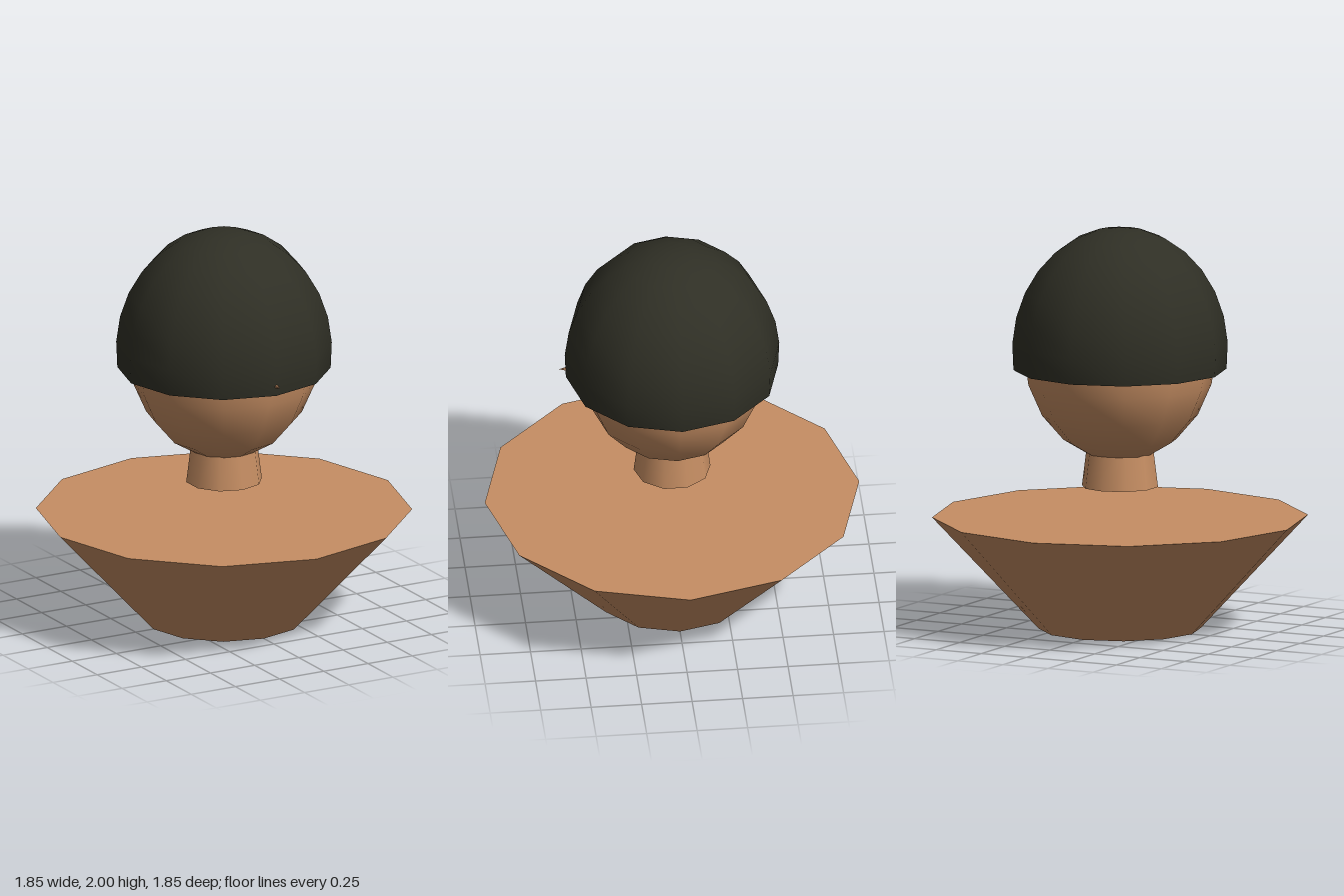
import * as THREE from 'three';

export function createModel() {
  const skin = new THREE.MeshStandardMaterial({ name: 'skin', color: 0xc68e63 });
  const hair = new THREE.MeshStandardMaterial({ name: 'darkHair', color: 0x2f2f25, side: THREE.DoubleSide });
  const model = new THREE.Group();
  model.name = 'bust';

  const add = (name, geometry, material, y, z = 0) => {
    const mesh = new THREE.Mesh(geometry, material);
    mesh.name = name;
    mesh.position.set(0, y, z);
    model.add(mesh);
    return mesh;
  };

  // Tapered shoulders, wide at the top
  add('shoulders', new THREE.CylinderGeometry(0.927, 0.4, 0.56, 12), skin, 0.28);

  // Neck floats above the shoulders and runs up into the head
  add('neck', new THREE.CylinderGeometry(0.16, 0.19, 0.24, 10), skin, 0.83);

  // Egg-shaped head
  const head = add('head', new THREE.SphereGeometry(0.475, 12, 10), skin, 1.385);
  head.scale.y = 1.15;

  // Open cap of hair, ending just below its widest ring
  const cap = add('hairCap',
    new THREE.SphereGeometry(0.532, 12, 8, 0, Math.PI * 2, 0, Math.PI * 0.55), hair, 1.388);
  cap.scale.y = 1.15;

  // Pointed nose, only its tip clears the hair
  const nose = new THREE.ConeGeometry(0.04, 0.14, 6);
  nose.rotateX(Math.PI / 2);
  add('nose', nose, skin, 1.34, 0.49);

  return model;
}
